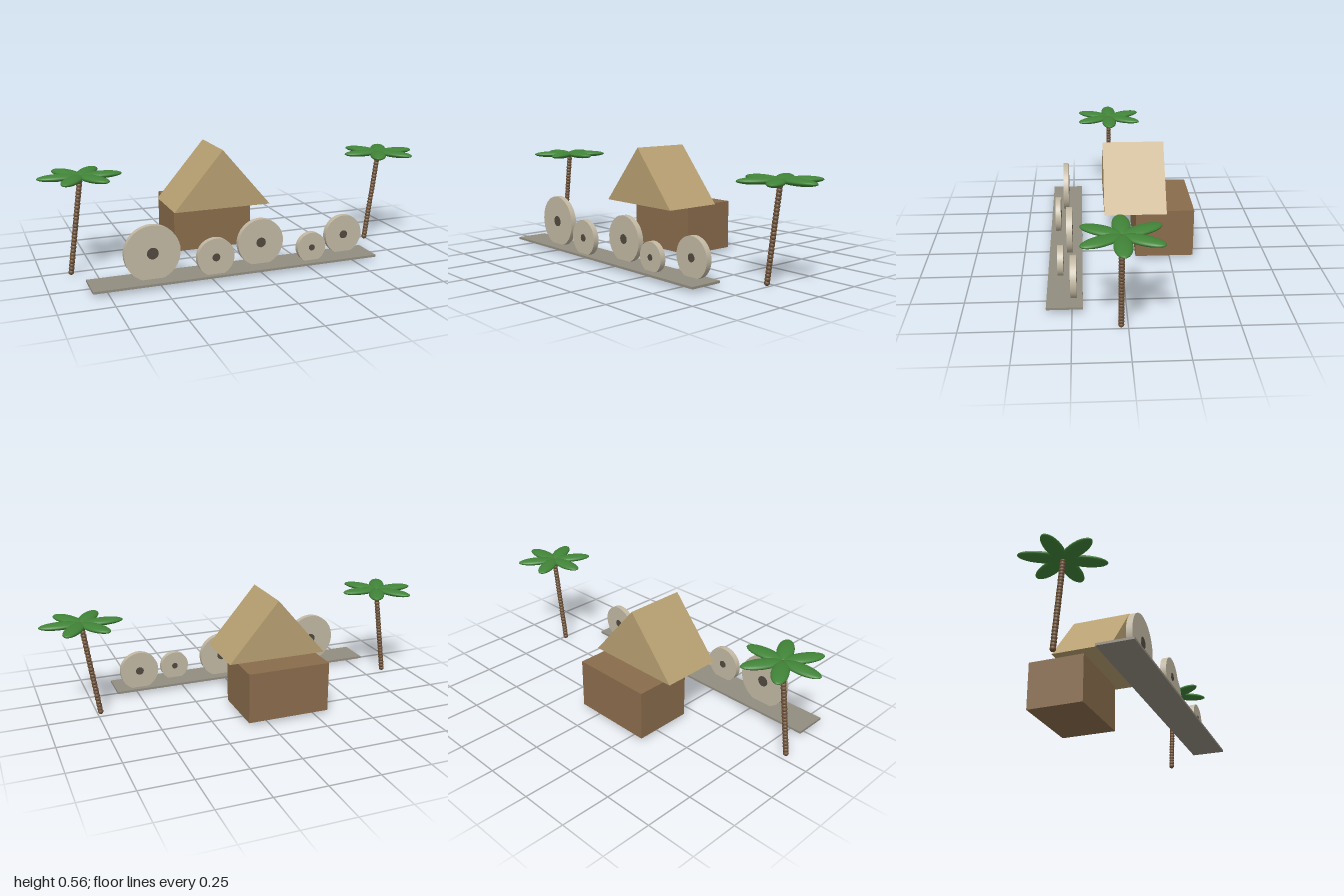
import * as THREE from 'three';

const mat = (name, color) => {
  const m = new THREE.MeshStandardMaterial({ color });
  m.name = name;
  return m;
};

export function createModel() {
  const mats = {
    wood: mat('wall brown', 0x8a6c4c),
    thatch: mat('thatch tan', 0xb8a072),
    stone: mat('pale stone', 0xc2b8a3),
    hole: mat('dark stone', 0x50493f),
    path: mat('path grey', 0x928d80),
    bark: mat('bark brown', 0x70543a),
    leaf: mat('leaf green', 0x418438),
  };
  const root = new THREE.Group();
  root.name = 'village';

  const add = (parent, name, geometry, material, x = 0, y = 0, z = 0) => {
    const mesh = new THREE.Mesh(geometry, material);
    mesh.name = name;
    mesh.position.set(x, y, z);
    parent.add(mesh);
    return mesh;
  };

  // Hut: box walls and a gabled roof set forward of them
  const hut = new THREE.Group();
  hut.name = 'hut';
  hut.position.x = -0.107;
  root.add(hut);
  add(hut, 'walls', new THREE.BoxGeometry(0.418, 0.251, 0.295), mats.wood, 0, 0.1425, -0.2205);
  const gable = new THREE.Shape();
  gable.moveTo(-0.252, 0);
  gable.lineTo(0.252, 0);
  gable.lineTo(0, 0.295);
  gable.closePath();
  const roof = new THREE.ExtrudeGeometry(gable, { depth: 0.311, bevelEnabled: false });
  add(hut, 'roof', roof, mats.thatch, 0, 0.27, -0.225);

  // Stone path
  add(root, 'path', new THREE.BoxGeometry(1.433, 0.011, 0.168), mats.path, -0.107, 0.0225, 0.284);

  // Upright stone discs: x, z, radius
  const discs = [
    [-0.53, 0.287, 0.134],
    [-0.235, 0.327, 0.092],
    [0.018, 0.264, 0.117],
    [0.272, 0.307, 0.075],
    [0.482, 0.242, 0.1],
  ];
  for (const [x, z, r] of discs) {
    const disc = new THREE.Group();
    disc.name = 'stoneDisc';
    disc.position.set(x, r + 0.018, z);
    disc.rotation.x = Math.PI / 2;
    root.add(disc);
    add(disc, 'discBody', new THREE.CylinderGeometry(r, r, 0.029, 40), mats.stone);
    add(disc, 'discCentre', new THREE.CylinderGeometry(r * 0.21, r * 0.21, 0.034, 12), mats.hole);
  }

  // Palms: leaning beaded trunk and six flat leaves
  const bead = new THREE.SphereGeometry(0.0137, 14, 10);
  const leaf = new THREE.SphereGeometry(1, 24, 16);
  leaf.scale(0.1, 0.0165, 0.04);
  leaf.translate(0.1, 0, 0);
  const beads = 27;
  for (const x of [-0.8, 0.8]) {
    const palm = new THREE.Group();
    palm.name = 'palm';
    palm.position.set(x, 0, 0.032);
    root.add(palm);
    for (let i = 0; i < beads; i++) {
      const t = i / (beads - 1);
      add(palm, 'trunkRing', bead, mats.bark, -0.064 * (1 - t), 0.0137 + t * 0.458, 0);
    }
    for (let i = 0; i < 6; i++) {
      add(palm, 'leaf', leaf, mats.leaf, 0, 0.481, 0).rotation.y = (i * Math.PI) / 3;
    }
  }

  return root;
}
